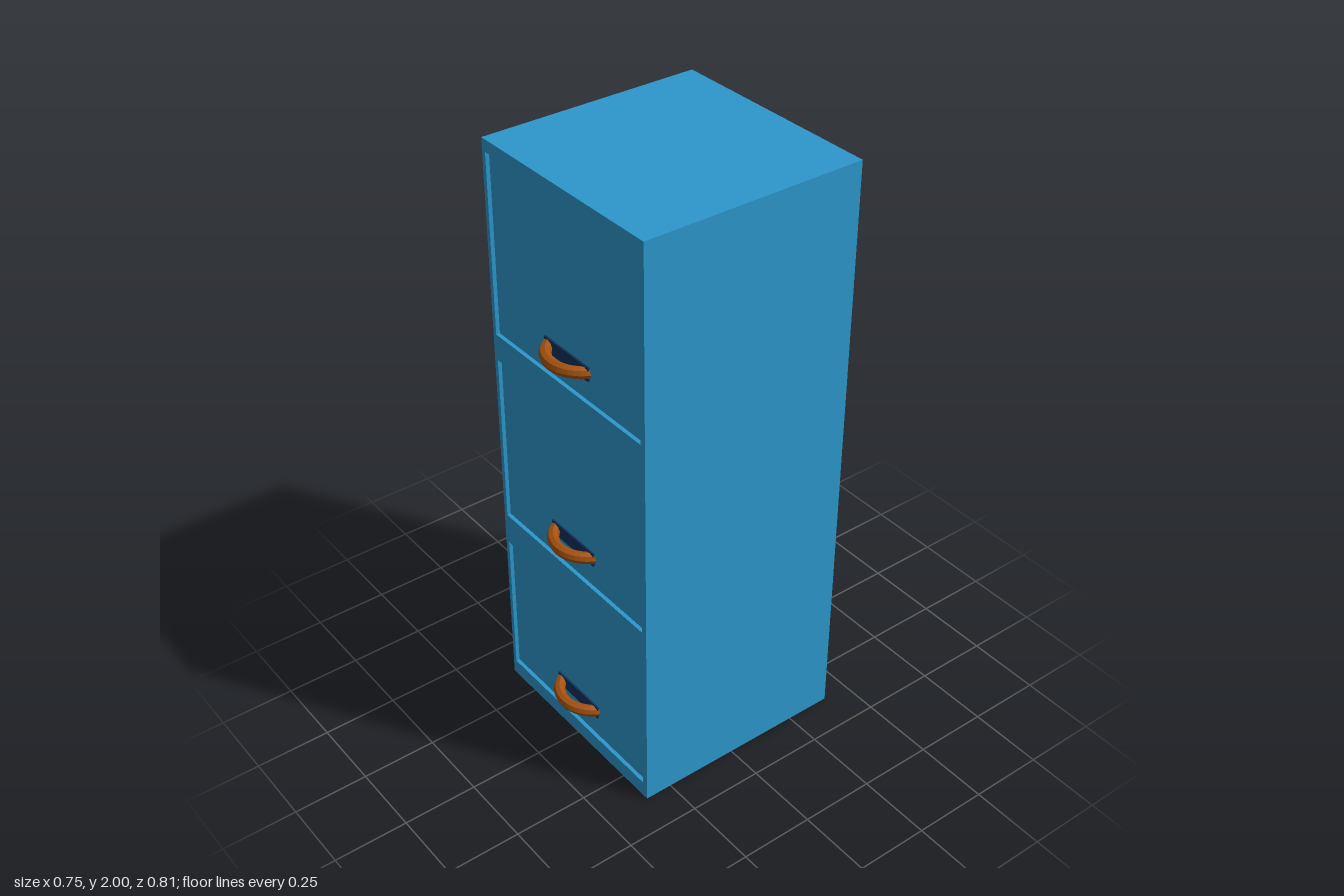
import * as THREE from 'three';

const blue = new THREE.MeshStandardMaterial({ color: 0x2c97cb });
blue.name = 'cabinetBlue';
const brown = new THREE.MeshStandardMaterial({ color: 0xa5520f, flatShading: true });
brown.name = 'handleBrown';
const navy = new THREE.MeshStandardMaterial({ color: 0x10305a });
navy.name = 'backplateNavy';

const WIDTH = 0.75, HEIGHT = 2, BACK = -0.405, FRONT = 0.343;
const FRAME = 0.025, RECESS = 0.013;
const LEFT = -0.36, RIGHT = 0.355, HANDLE_X = -0.005;

// bottom, top and handle height of each drawer
const drawers = [
  [0.055, 0.57, 0.157],
  [0.68, 1.27, 0.787],
  [1.36, 1.96, 1.453],
];

function add(parent, name, geometry, material, x, y, z) {
  const mesh = new THREE.Mesh(geometry, material);
  mesh.name = name;
  mesh.position.set(x, y, z);
  parent.add(mesh);
  return mesh;
}

function rectangle(Type, x0, y0, x1, y1) {
  return new Type([[x0, y0], [x1, y0], [x1, y1], [x0, y1]].map(([x, y]) => new THREE.Vector2(x, y)));
}

// bowed grip: an arc of a ring sinking into the drawer front
function handleGeometry() {
  const arc = THREE.MathUtils.degToRad(136);
  const geometry = new THREE.TorusGeometry(0.109, 0.019, 8, 16, arc);
  geometry.rotateZ((Math.PI - arc) / 2);
  geometry.rotateX(Math.PI / 2);
  return geometry;
}

export function createModel() {
  const cabinet = new THREE.Group();
  cabinet.name = 'filingCabinet';

  // carcass
  const depth = FRONT - FRAME - BACK;
  add(cabinet, 'carcass', new THREE.BoxGeometry(WIDTH, HEIGHT, depth), blue, 0, HEIGHT / 2, BACK + depth / 2);

  // front frame with drawer openings
  const face = rectangle(THREE.Shape, -WIDTH / 2, 0, WIDTH / 2, HEIGHT);
  for (const [y0, y1] of drawers) face.holes.push(rectangle(THREE.Path, LEFT, y0, RIGHT, y1));
  const frame = new THREE.ExtrudeGeometry(face, { depth: FRAME, bevelEnabled: false });
  add(cabinet, 'frontFrame', frame, blue, 0, 0, FRONT - FRAME);

  // recessed drawers with handles
  const panelZ = FRONT - RECESS;
  const panelDepth = FRAME - RECESS;
  const grip = handleGeometry();
  drawers.forEach(([y0, y1, handleY], i) => {
    const drawer = new THREE.Group();
    drawer.name = `drawer${i + 1}`;
    add(drawer, 'drawerFront', new THREE.BoxGeometry(RIGHT - LEFT, y1 - y0, panelDepth), blue,
      (LEFT + RIGHT) / 2, (y0 + y1) / 2, panelZ - panelDepth / 2);
    add(drawer, 'handleBackplate', new THREE.BoxGeometry(0.216, 0.047, 0.006), navy, HANDLE_X, handleY, panelZ + 0.003);
    add(drawer, 'handle', grip, brown, HANDLE_X, handleY, 0.275);
    cabinet.add(drawer);
  });

  return cabinet;
}
